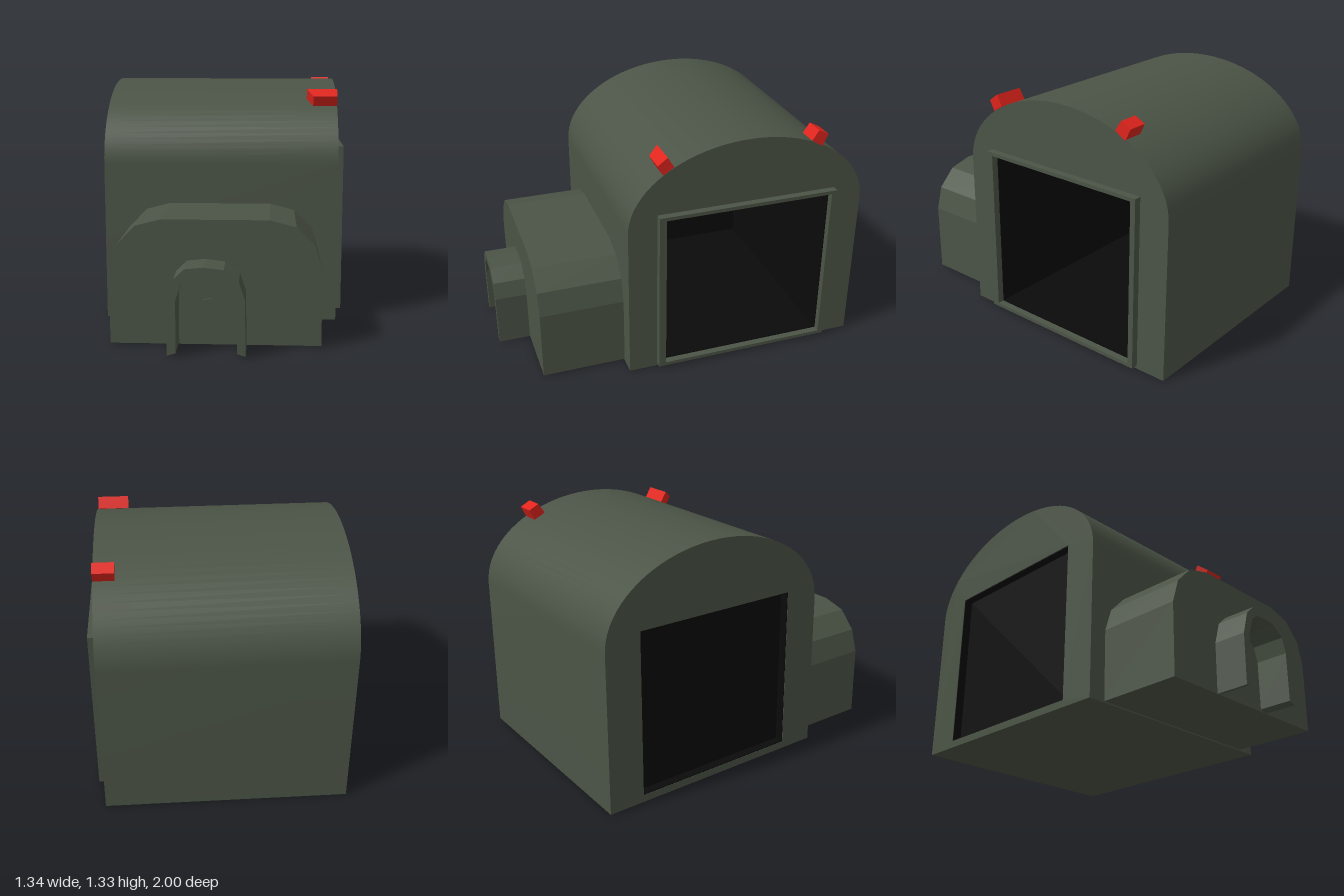
import * as THREE from 'three';
import { toCreasedNormals } from 'three/addons/utils/BufferGeometryUtils.js';

const green = new THREE.MeshStandardMaterial({ color: 0x4b5446 });
const black = new THREE.MeshStandardMaterial({ color: 0x0a0a0a });
const red = new THREE.MeshStandardMaterial({ color: 0xe0241c });

const points = (list) => list.map(([x, y]) => new THREE.Vector2(x, y));

// Rectangle outline in the side plane: z range and y range (shape x is -z)
const sideRect = (z0, z1, y0, y1) =>
  points([[-z1, y0], [-z0, y0], [-z0, y1], [-z1, y1]]);

function extrude(outline, depth, hole) {
  const shape = new THREE.Shape(outline);
  if (hole) shape.holes.push(new THREE.Path(hole));
  return new THREE.ExtrudeGeometry(shape, { depth, bevelEnabled: false });
}

// Extrude a side-plane outline along x
function alongX(outline, x0, x1, hole) {
  return extrude(outline, x1 - x0, hole).rotateY(Math.PI / 2).translate(x0, 0, 0);
}

// Extrude a front-plane outline along z
function alongZ(outline, z0, z1) {
  return extrude(outline, z1 - z0).translate(0, 0, z0);
}

export function createModel() {
  const model = new THREE.Group();
  const add = (name, geometry, material) => {
    const mesh = new THREE.Mesh(geometry, material);
    mesh.name = name;
    model.add(mesh);
  };

  // Vaulted hall with a rectangular passage along x
  const vault = [[-0.35, 0], [1, 0]];
  const segments = 40;
  for (let i = 0; i <= segments; i++) {
    const a = (Math.PI * i) / segments;
    vault.push([0.325 + 0.675 * Math.cos(a), 0.88 + 0.45 * Math.sin(a)]);
  }
  const opening = sideRect(-0.8, 0.15, 0.04, 0.95);
  add('hall', toCreasedNormals(alongX(points(vault), -0.67, 0.63, opening), 0.4), green);

  // Dark lining of the passage and the shutter closing its far end
  const inner = sideRect(-0.795, 0.145, 0.045, 0.945);
  add('passageLining', alongX(opening, -0.668, 0.632, inner), black);
  add('shutter', alongX(inner, -0.62, -0.6), black);

  // Raised frame around the hangar opening
  add('openingFrame', alongX(sideRect(-0.83, 0.19, 0.02, 0.97), 0.63, 0.67, opening), green);

  // Front annex with chamfered shoulders
  const annex = [
    [-0.57, 0.007], [0.525, 0.007], [0.525, 0.4], [0.49, 0.53], [0.39, 0.63],
    [0.255, 0.665], [-0.3, 0.665], [-0.435, 0.63], [-0.53, 0.53], [-0.57, 0.4],
  ];
  add('annex', alongZ(points(annex), 0.34, 0.82), green);

  // Open arch porch: outer outline up and over, inner outline back
  const porch = [
    [0.14, 0.007], [0.135, 0.3], [0.105, 0.39], [0.03, 0.45], [-0.07, 0.462],
    [-0.165, 0.452], [-0.22, 0.4], [-0.255, 0.28], [-0.255, 0.007],
    [-0.21, 0.02], [-0.21, 0.29], [-0.18, 0.38], [-0.14, 0.412], [-0.07, 0.417],
    [0, 0.41], [0.07, 0.36], [0.095, 0.28], [0.098, 0.02],
  ];
  add('porch', alongZ(points(porch), 0.815, 1), green);

  // Small triangular door handle
  const handle = [[-0.087, 0.248], [-0.067, 0.2], [-0.04, 0.255]];
  add('doorHandle', alongZ(points(handle), 0.815, 0.83), green);

  // Warning lights on the vault above the opening
  const front = sideRect(0, 0, 0, 0) && points([[-0.16, 1.195], [-0.1, 1.232], [-0.135, 1.29], [-0.19, 1.25]]);
  const frontLight = alongX(front, 0.46, 0.63);
  // Slant the inner end of the front light
  const p = frontLight.attributes.position;
  for (let i = 0; i < p.count; i++) {
    if (p.getX(i) < 0.5 && p.getZ(i) > 0.145) p.setX(i, 0.495);
  }
  frontLight.computeVertexNormals();
  add('frontLight', frontLight, red);
  const back = points([[0.67, 1.27], [0.733, 1.23], [0.765, 1.295], [0.707, 1.325]]);
  add('backLight', alongX(back, 0.52, 0.63), red);

  return model;
}
